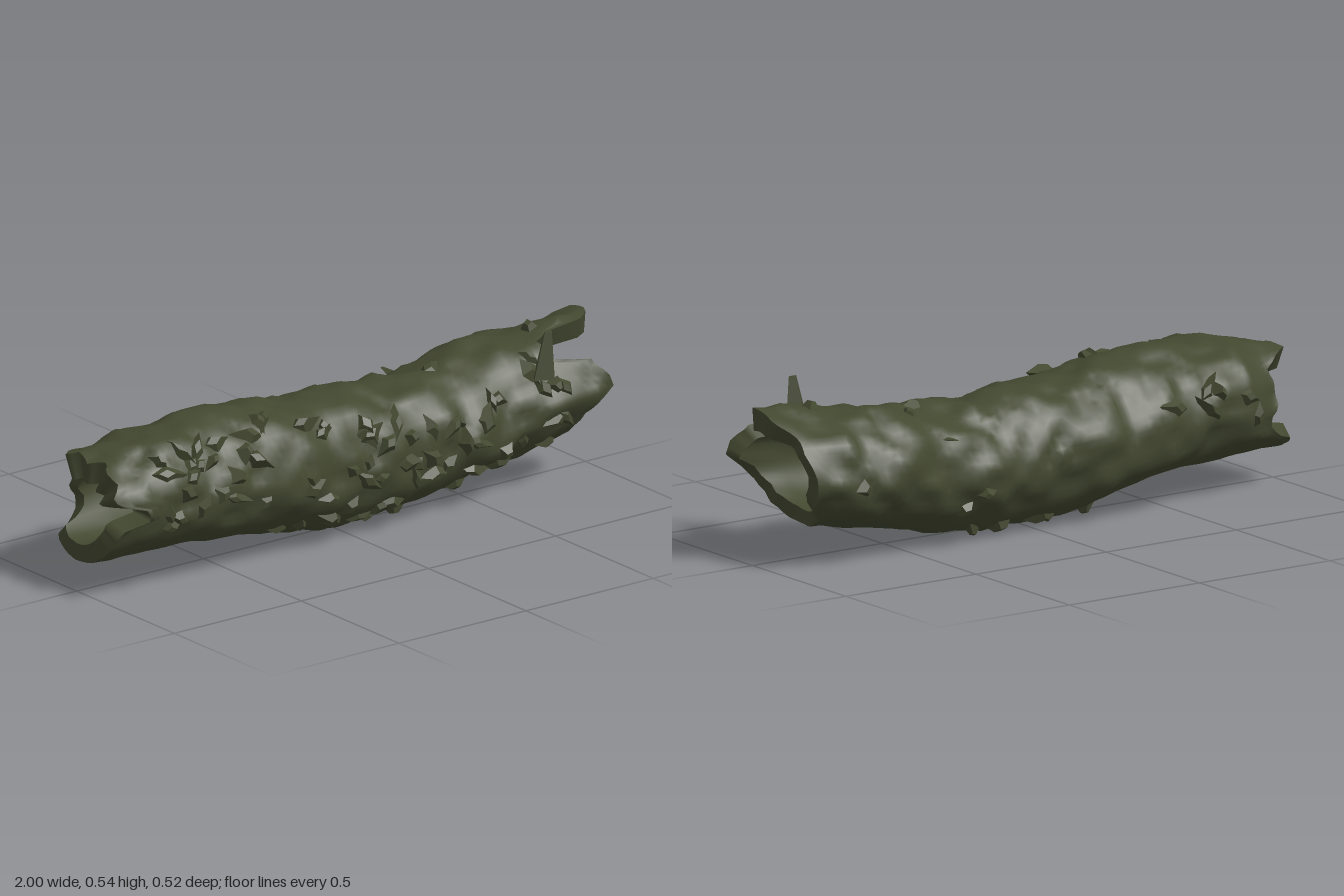
import * as THREE from 'three';
import { mergeGeometries } from 'three/addons/utils/BufferGeometryUtils.js';

const TAU = Math.PI * 2;
const COLS = 56, ROWS = 84;
const { lerp, clamp } = THREE.MathUtils;

// repeatable pseudo-random value for a lattice cell
function hash(i, j, k) {
  let h = Math.imul(i + 101, 374761393) ^ Math.imul(j + 57, 668265263) ^ Math.imul(k + 13, 1274126177);
  h = Math.imul(h ^ (h >>> 13), 1274126177);
  h = Math.imul(h ^ (h >>> 15), 2246822519);
  return ((h ^ (h >>> 16)) >>> 0) / 4294967296;
}

// smooth noise in -1..1, periodic around the trunk
function noise(u, v, nu, nv, seed) {
  const a = u * nu, b = (v - Math.floor(v)) * nv;
  const i = Math.floor(a), j = Math.floor(b);
  const f = a - i, g = b - j;
  const h = (p, q) => hash(p, q % nv, seed) * 2 - 1;
  return lerp(lerp(h(i, j), h(i + 1, j), f), lerp(h(i, j + 1), h(i + 1, j + 1), f), g);
}

// linear lookup in [key, value...] rows
function lookup(table, key) {
  let n = 1;
  while (n < table.length - 1 && table[n][0] < key) n++;
  const a = table[n - 1], b = table[n];
  const t = clamp((key - a[0]) / (b[0] - a[0]), 0, 1);
  return a.slice(1).map((v, k) => lerp(v, b[k + 1], t));
}

// trunk outline: x, bottom, top, back z, front z
const OUTLINE = [
  [-1, 0.105, 0.45, -0.17, 0.20], [-0.8, 0.1, 0.475, -0.19, 0.215], [-0.6, 0.09, 0.495, -0.215, 0.235],
  [-0.4, 0.065, 0.475, -0.225, 0.22], [-0.2, 0.03, 0.45, -0.235, 0.205], [0, 0.008, 0.44, -0.235, 0.195],
  [0.2, 0.012, 0.425, -0.24, 0.185], [0.4, 0.04, 0.435, -0.245, 0.18], [0.6, 0.075, 0.46, -0.26, 0.18],
  [0.8, 0.11, 0.485, -0.25, 0.19], [1, 0.13, 0.505, -0.22, 0.20],
];
// broken ends: angle from the front going up, x reached
const LEFT_END = [
  [0, 0.95], [15, 0.94], [33, 0.91], [42, 0.77], [68, 0.75], [78, 0.96], [90, 1], [118, 1], [132, 0.94],
  [180, 0.92], [225, 0.88], [270, 0.83], [305, 0.83], [335, 0.89], [360, 0.95],
];
const RIGHT_END = [
  [0, -0.87], [8, -0.9], [14, -0.98], [60, -0.98], [72, -0.94], [84, -0.98], [115, -0.98], [128, -0.92],
  [150, -0.89], [205, -0.89], [217, -0.92], [226, -0.99], [245, -1], [335, -1], [346, -0.98], [352, -0.87], [360, -0.87],
];

// wall thickness: thin along the trunk, heavier on top at both tips
function wall(x, ang) {
  const right = clamp((-x - 0.65) / 0.25, 0, 1), left = clamp((x - 0.7) / 0.25, 0, 1);
  const up = 0.5 + 0.5 * Math.sin(ang + 0.5);
  return 0.046 + 0.05 * right * up + 0.03 * left * up;
}

// point on the bark, or on the hollow
function trunkPoint(u, v, hollow) {
  const deg = (v - Math.floor(v)) * 360, ang = v * TAU;
  const jag = (s) => 0.02 * noise(s, v, 7, 28, s + 3);
  const x0 = lookup(RIGHT_END, deg)[0] + jag(0);
  const x1 = lookup(LEFT_END, deg)[0] + jag(1);
  // only the stretches next to the breaks follow their ragged edge
  const x = clamp(lookup([[0, x0], [0.14, -0.75], [0.85, 0.68], [1, x1]], u)[0], -1, 1);
  const [bottom, top, back, front] = lookup(OUTLINE, x);
  // the underside and the lower lip are smoother than the upper bark
  const rough = deg > 215 && deg < 330 ? (x < -0.3 ? 0.3 : 0.6) : 1;
  const along = (x + 1) / 2;
  const d = hollow
    ? 0.008 * noise(along, v, 12, 14, 9) - wall(x, ang)
    : rough * (0.017 * noise(along, v, 18, 13, 1) + 0.013 * noise(along, v, 37, 25, 2));
  return new THREE.Vector3(
    x,
    Math.max(0, (bottom + top) / 2 + ((top - bottom) / 2 + d) * Math.sin(ang)),
    (back + front) / 2 + ((front - back) / 2 + d) * Math.cos(ang),
  );
}

// closed skin through rings of points, with alternating diagonals
function skin(rings, flip) {
  const pos = [], index = [];
  rings.forEach((ring) => ring.forEach((p) => pos.push(p.x, p.y, p.z)));
  for (let i = 0; i < rings.length - 1; i++) {
    for (let j = 0; j < COLS; j++) {
      const k = (j + 1) % COLS;
      const a = i * COLS + j, b = a + COLS, c = (i + 1) * COLS + k, d = i * COLS + k;
      const quad = (i + j) % 2 ? [a, b, c, a, c, d] : [a, b, d, b, c, d];
      index.push(...(flip ? quad.reverse() : quad));
    }
  }
  const g = new THREE.BufferGeometry();
  g.setAttribute('position', new THREE.Float32BufferAttribute(pos, 3));
  g.setIndex(index);
  g.computeVertexNormals();
  return g;
}

function rings(hollow) {
  return Array.from({ length: ROWS + 1 }, (_, i) =>
    Array.from({ length: COLS }, (_, j) => trunkPoint(i / ROWS, j / COLS, hollow)));
}

// a blunt angular shard pointing along a direction
function shard(at, dir, length, height, width, spin) {
  const g = new THREE.CylinderGeometry(0.35, 1, 1, 4, 1).toNonIndexed();
  g.deleteAttribute('uv');
  g.scale(length, height, width);
  g.rotateY(spin);
  g.applyQuaternion(new THREE.Quaternion().setFromUnitVectors(new THREE.Vector3(0, 1, 0), dir.normalize()));
  g.translate(at.x, at.y, at.z);
  g.computeVertexNormals();
  return g;
}

export function createModel() {
  const model = new THREE.Group();
  model.name = 'hollowLog';
  const bark = new THREE.MeshStandardMaterial({ color: 0x434830 });
  bark.name = 'mossy bark';
  const add = (name, geometry) => {
    const mesh = new THREE.Mesh(geometry, bark);
    mesh.name = name;
    model.add(mesh);
  };

  // bark, hollow and the two broken rims
  const outer = rings(false), inner = rings(true);
  add('outerBark', skin(outer, false));
  add('innerHollow', skin(inner, true));
  add('rightRim', skin([inner[0], outer[0]], false));
  add('leftRim', skin([outer[ROWS], inner[ROWS]], false));

  // low tilted bark flakes, thickest along the front and lower front
  const flakes = [];
  for (let n = 0; n < 110; n++) {
    const r = (k) => hash(n, k, 17);
    const u = 0.06 + 0.86 * r(1);
    const v = n % 4 ? -0.17 + 0.34 * r(2) : r(2);
    if (u < 0.35 && (v < -0.05 || v > 0.6)) continue;
    const out = new THREE.Vector3((r(3) - 0.5) * 0.8, Math.sin(v * TAU), Math.cos(v * TAU));
    const g = shard(trunkPoint(u, v, false), out, 0.04 + 0.04 * r(6), 0.025 + 0.02 * r(5), 0.025 + 0.02 * r(4), r(7) * 3);
    g.computeBoundingBox();
    if (g.boundingBox.min.y >= 0) flakes.push(g);
  }
  add('barkFlakes', mergeGeometries(flakes));

  // upright splinter beside the open notch, and a thin one at the back
  add('splinter', shard(new THREE.Vector3(0.72, 0.46, 0.165), new THREE.Vector3(0.08, 1, 0.03), 0.055, 0.15, 0.04, 0.3));
  add('backSplinter', shard(new THREE.Vector3(0.4, 0.365, -0.235), new THREE.Vector3(0, 0.1, -1), 0.02, 0.05, 0.006, 0));
  return model;
}
